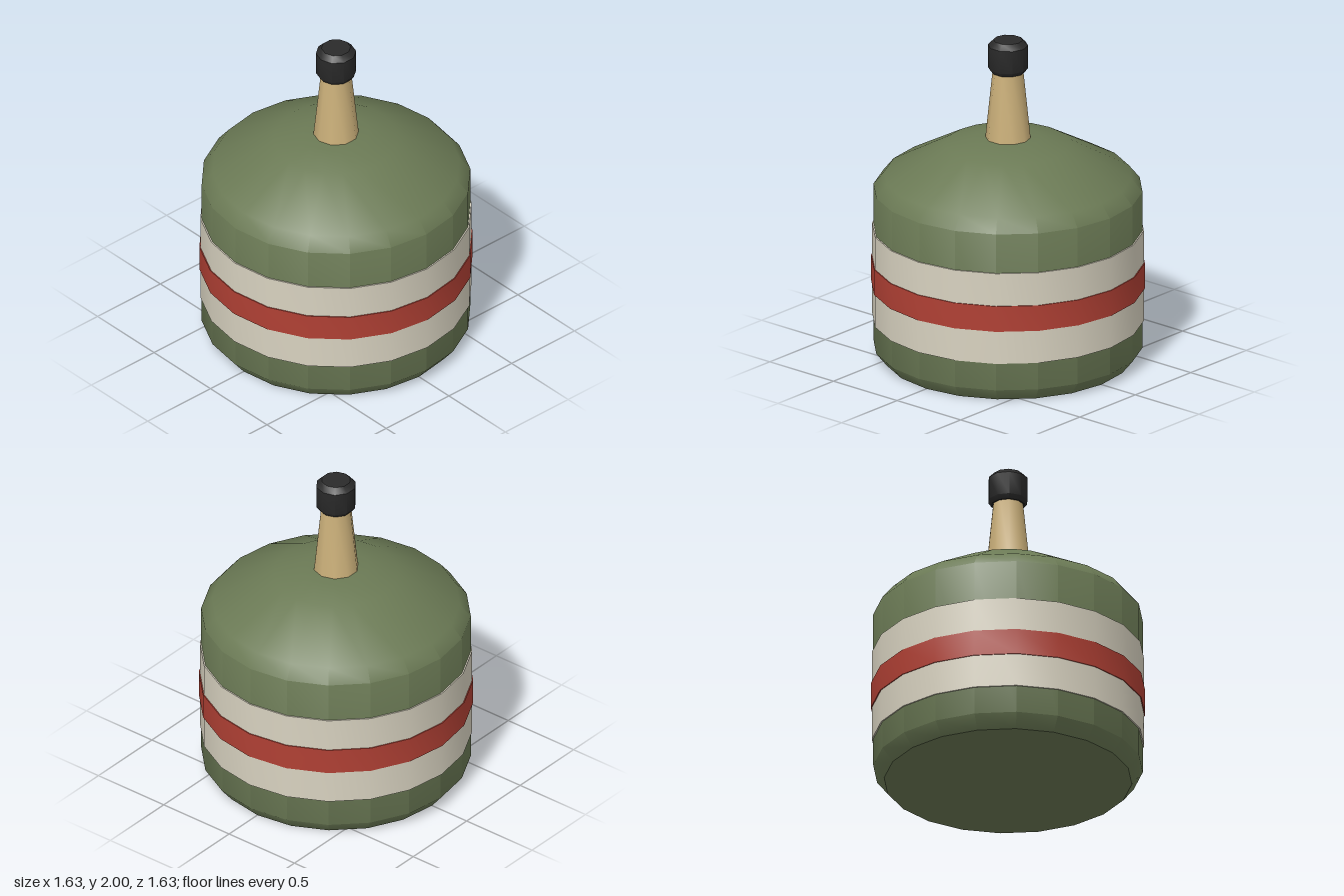
import * as THREE from 'three';
import { toCreasedNormals } from 'three/addons/utils/BufferGeometryUtils.js';

// Turned part: profile of [radius, height] pairs from bottom to top, sharp only at strong bends
function turned(name, color, sides, profile) {
  const points = profile.map(([r, y]) => new THREE.Vector2(r, y));
  const geometry = toCreasedNormals(new THREE.LatheGeometry(points, sides, Math.PI / 2), 0.72);
  const mesh = new THREE.Mesh(geometry, new THREE.MeshStandardMaterial({ color }));
  mesh.name = name;
  return mesh;
}

// Closed ring around the body
function band(name, color, radius, bottom, top) {
  const inner = 0.78;
  return turned(name, color, 20, [[inner, bottom], [radius, bottom], [radius, top], [inner, top]]);
}

export function createModel() {
  const group = new THREE.Group();
  group.name = 'bottle';

  // Wide body with a chamfered foot and sloping shoulder
  group.add(turned('body', 0x6b7a55, 20, [
    [0, 0], [0.735, 0], [0.8, 0.08], [0.8, 1.065], [0.735, 1.145],
    [0.37, 1.345], [0.195, 1.385], [0, 1.385],
  ]));

  // Label and its stripe
  group.add(band('label', 0xd8d2c0, 0.808, 0.25, 0.82));
  group.add(band('labelStripe', 0xb04034, 0.814, 0.455, 0.615));

  // Tapered neck
  group.add(turned('neck', 0xcbb07a, 10, [[0, 1.37], [0.136, 1.37], [0.09, 1.82], [0, 1.82]]));

  // Cap with chamfered rims
  group.add(turned('cap', 0x2a2a2a, 10, [
    [0, 1.8], [0.1, 1.8], [0.12, 1.826], [0.12, 1.967], [0.087, 2], [0, 2],
  ]));
  return group;
}
